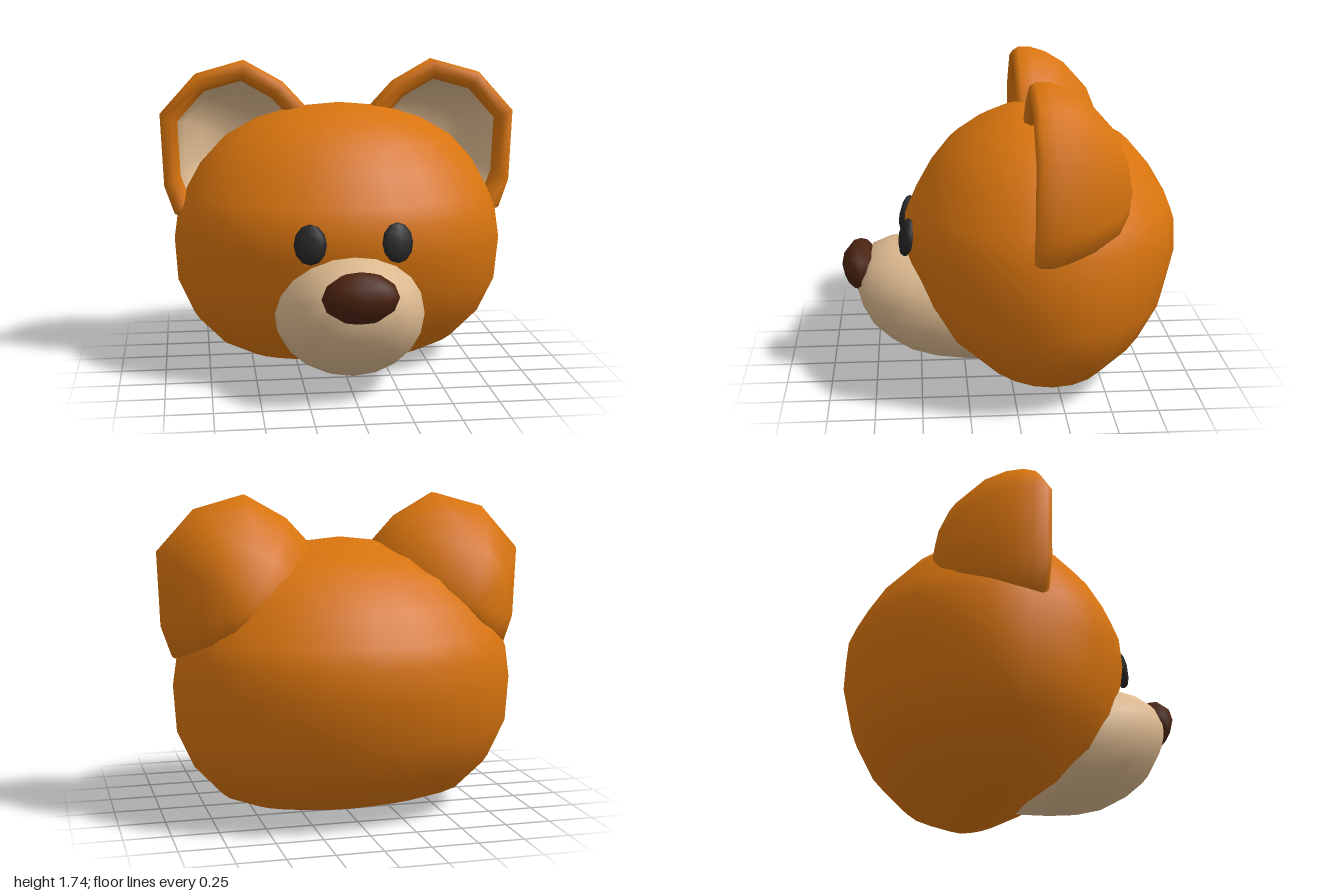
import * as THREE from 'three';

const mat = (name, color) => {
  const m = new THREE.MeshStandardMaterial({ color });
  m.name = name;
  return m;
};

// Smooth skin over closed rings; optional poles close the ends.
function loft(rings, startPole, endPole) {
  const n = rings[0].length;
  const pos = rings.flat(2);
  const idx = [];
  for (let i = 0; i < rings.length - 1; i++) {
    for (let j = 0; j < n; j++) {
      const a = i * n + j, b = i * n + (j + 1) % n;
      idx.push(a, b, a + n, b, b + n, a + n);
    }
  }
  let next = rings.length * n;
  const last = next - n;
  if (startPole) {
    pos.push(...startPole);
    for (let j = 0; j < n; j++) idx.push(next, (j + 1) % n, j);
    next++;
  }
  if (endPole) {
    pos.push(...endPole);
    for (let j = 0; j < n; j++) idx.push(last + j, last + (j + 1) % n, next);
  }
  const g = new THREE.BufferGeometry();
  g.setAttribute('position', new THREE.Float32BufferAttribute(pos, 3));
  g.setIndex(idx);
  g.computeVertexNormals();
  return g;
}

const circle = (n, fn) => Array.from({ length: n }, (_, i) => fn(i / n * Math.PI * 2));

export function createModel() {
  const model = new THREE.Group();
  model.name = 'bearHead';
  const fur = mat('orangeFur', 0xd8740e);
  const cream = mat('cream', 0xdcb98f);
  const black = mat('eyeBlack', 0x262626);
  const brown = mat('noseBrown', 0x4a2210);
  const add = (name, geo, material) => {
    const m = new THREE.Mesh(geo, material);
    m.name = name;
    model.add(m);
    return m;
  };

  // Head: elliptical levels [y, half width, front z, back z]
  const levels = [
    [0.005, 0.26, -0.06, -0.28], [0.04, 0.5, 0.05, -0.38], [0.12, 0.68, 0.2, -0.59],
    [0.28, 0.83, 0.38, -0.76], [0.48, 0.92, 0.5, -0.87], [0.73, 0.935, 0.585, -0.93],
    [0.9, 0.91, 0.575, -0.925], [1.0, 0.87, 0.53, -0.885], [1.16, 0.78, 0.44, -0.79],
    [1.3, 0.65, 0.33, -0.67], [1.4, 0.48, 0.19, -0.5], [1.47, 0.27, 0.05, -0.28],
  ];
  add('head', loft(levels.map(([y, w, f, b]) => circle(24, t =>
    [w * Math.sin(t), y, (f + b) / 2 + (f - b) / 2 * Math.cos(t)])),
  [0, 0, -0.18], [0, 1.5, -0.1]), fur);

  // Muzzle: slices [z, centre y, half width, half height]
  const slices = [
    [0.05, 0.385, 0.36, 0.355], [0.25, 0.4, 0.41, 0.355], [0.41, 0.415, 0.405, 0.35],
    [0.55, 0.435, 0.38, 0.33], [0.66, 0.46, 0.34, 0.29], [0.76, 0.485, 0.28, 0.225],
    [0.82, 0.505, 0.2, 0.135],
  ];
  add('muzzle', loft(slices.map(([z, y, w, h]) => circle(20, t =>
    [w * Math.cos(t), y + h * Math.sin(t), z])),
  [0, 0.385, -0.05], [0, 0.5, 0.865]), cream);

  // Nose
  const nose = add('nose', new THREE.SphereGeometry(1, 8, 6), brown);
  nose.scale.set(0.2, 0.137, 0.107);
  nose.position.set(0, 0.605, 0.828);

  // Ear outline, counterclockwise from the front
  const outline = [
    [0.93, 0.88], [0.985, 1.04], [1.0, 1.44], [0.8, 1.66], [0.53, 1.735], [0.31, 1.61],
    [0.19, 1.48], [0.12, 1.3], [0.25, 1.05], [0.5, 0.88], [0.78, 0.82],
  ];
  // Ear profiles [scale of outline, z, lowering of centre]
  const shell = [
    [0.3, -0.57, 0.06], [0.56, -0.51, 0.04], [0.82, -0.37, 0.01], [0.94, -0.26, 0],
    [1, -0.17, 0], [1, -0.1, 0], [0.96, -0.07, 0], [0.85, -0.07, 0], [0.79, -0.1, 0], [0.76, -0.16, 0],
  ];
  const bowl = [[0.76, -0.16, 0], [0.66, -0.29, 0], [0.4, -0.41, 0]];

  for (const side of [1, -1]) {
    const label = side > 0 ? 'left' : 'right';
    const pts = side > 0 ? outline : [...outline].reverse();
    const rings = rows => rows.map(([s, z, drop]) => pts.map(([x, y]) =>
      [side * (0.6 + (x - 0.6) * s), 1.25 - drop + (y - 1.25) * s, z]));
    add(label + 'Ear', loft(rings(shell), [side * 0.6, 1.17, -0.6]), fur);
    add(label + 'InnerEar', loft(rings(bowl), null, [side * 0.6, 1.25, -0.45]), cream);

    // Eye
    const eye = add(label + 'Eye', new THREE.SphereGeometry(1, 8, 6), black);
    eye.scale.set(0.088, 0.107, 0.038);
    eye.position.set(side * 0.23, 0.83, 0.568);
    eye.rotation.set(-0.2, side * 0.25, 0);
  }
  return model;
}
